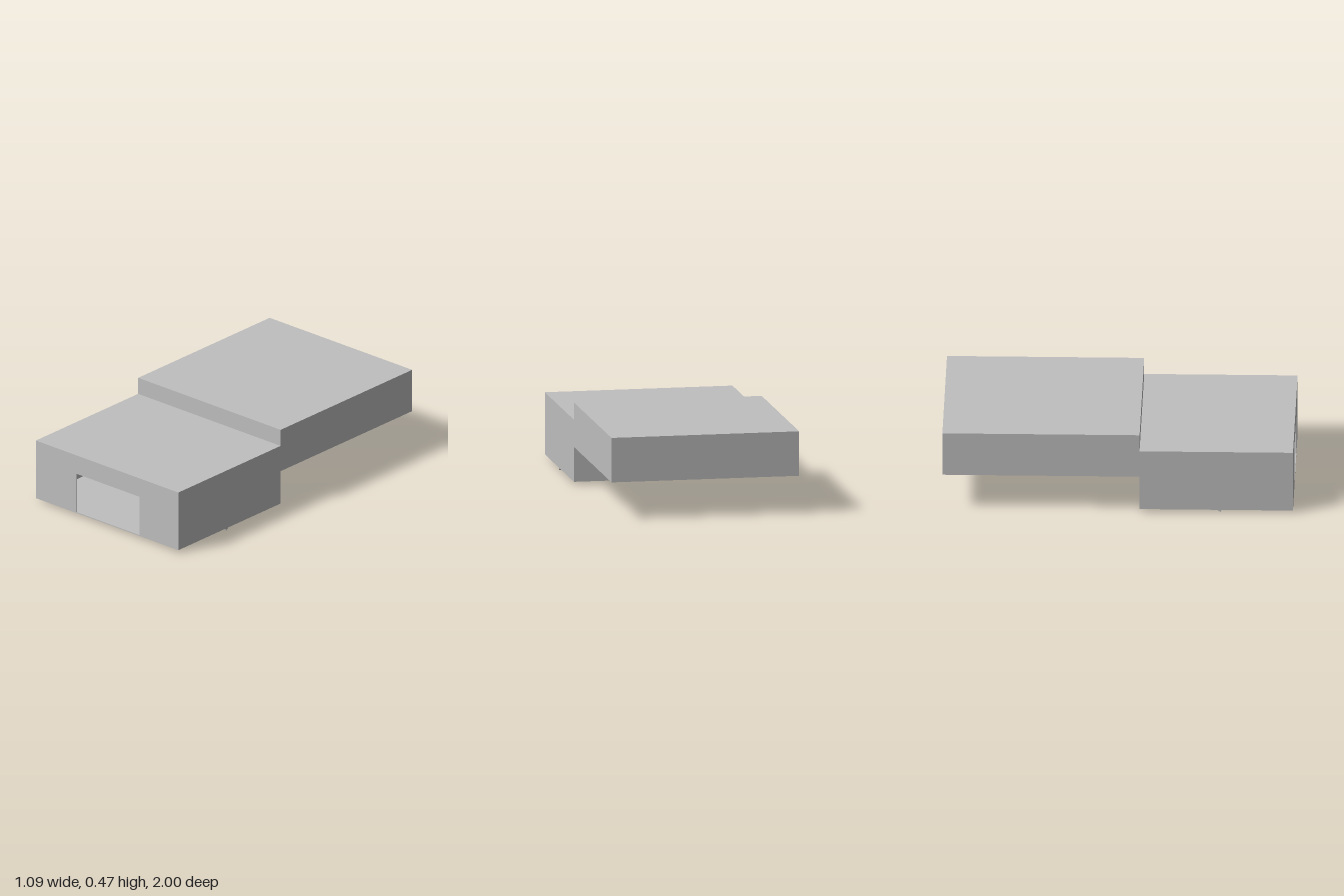
import * as THREE from 'three';

export function createModel() {
  const model = new THREE.Group();
  const grey = new THREE.MeshStandardMaterial({ color: 0xbfbfbf });
  grey.name = 'plain grey';

  const W = 0.545;  // half width
  const T = 0.005;  // wall thickness
  const base = 0.015, lowTop = 0.375, highBase = 0.217, highTop = 0.475, step = 0.125;

  const add = (name, geometry) => {
    const mesh = new THREE.Mesh(geometry, grey);
    mesh.name = name;
    model.add(mesh);
    return mesh;
  };
  // full-width panel between two heights and two depths
  const panel = (name, y0, y1, z0, z1) => {
    add(name, new THREE.BoxGeometry(2 * (W - T), y1 - y0, z1 - z0))
      .position.set(0, (y0 + y1) / 2, (z0 + z1) / 2);
  };

  // stepped side walls, drawn as (-z, y) and turned to face sideways
  const side = new THREE.Shape([
    [-1, base], [-step, base], [-step, highBase], [1, highBase],
    [1, highTop], [-step, highTop], [-step, lowTop], [-1, lowTop],
  ].map(([x, y]) => new THREE.Vector2(x, y)));
  const sideGeometry = new THREE.ExtrudeGeometry(side, { depth: T, bevelEnabled: false });
  sideGeometry.rotateY(Math.PI / 2);
  add('leftWall', sideGeometry).position.x = W - T;
  add('rightWall', sideGeometry).position.x = -W;

  // front wall with the doorway cut out
  const front = new THREE.Shape([
    [-W + T, base], [W - T, base], [W - T, lowTop], [-W + T, lowTop],
  ].map(([x, y]) => new THREE.Vector2(x, y)));
  front.holes.push(new THREE.Path([
    [-0.235, 0.021], [-0.235, 0.26], [0.248, 0.26], [0.248, 0.021],
  ].map(([x, y]) => new THREE.Vector2(x, y))));
  add('frontWall', new THREE.ExtrudeGeometry(front, { depth: T, bevelEnabled: false }))
    .position.z = 1 - T;

  // floors, roofs and cross walls of the hollow shell
  panel('lowerFloor', base, base + T, step, 1 - T);
  panel('lowerRoof', lowTop - T, lowTop, step, 1 - T);
  panel('lowerBackWall', base + T, highBase, step, step + T);
  panel('upperFloor', highBase, highBase + T, -1 + T, step);
  panel('upperRoof', highTop - T, highTop, -1 + T, step);
  panel('upperFrontWall', lowTop, highTop - T, step - T, step);
  panel('backWall', highBase, highTop, -1, -1 + T);

  // small wedge feet under the lower part
  const wedge = new THREE.Shape([
    new THREE.Vector2(-0.592, base), new THREE.Vector2(-0.587, 0), new THREE.Vector2(-0.565, base),
  ]);
  const footGeometry = new THREE.ExtrudeGeometry(wedge, { depth: 0.075, bevelEnabled: false });
  footGeometry.rotateY(Math.PI / 2);
  add('leftFoot', footGeometry).position.x = 0.467;
  add('rightFoot', footGeometry).position.x = -0.542;

  return model;
}
